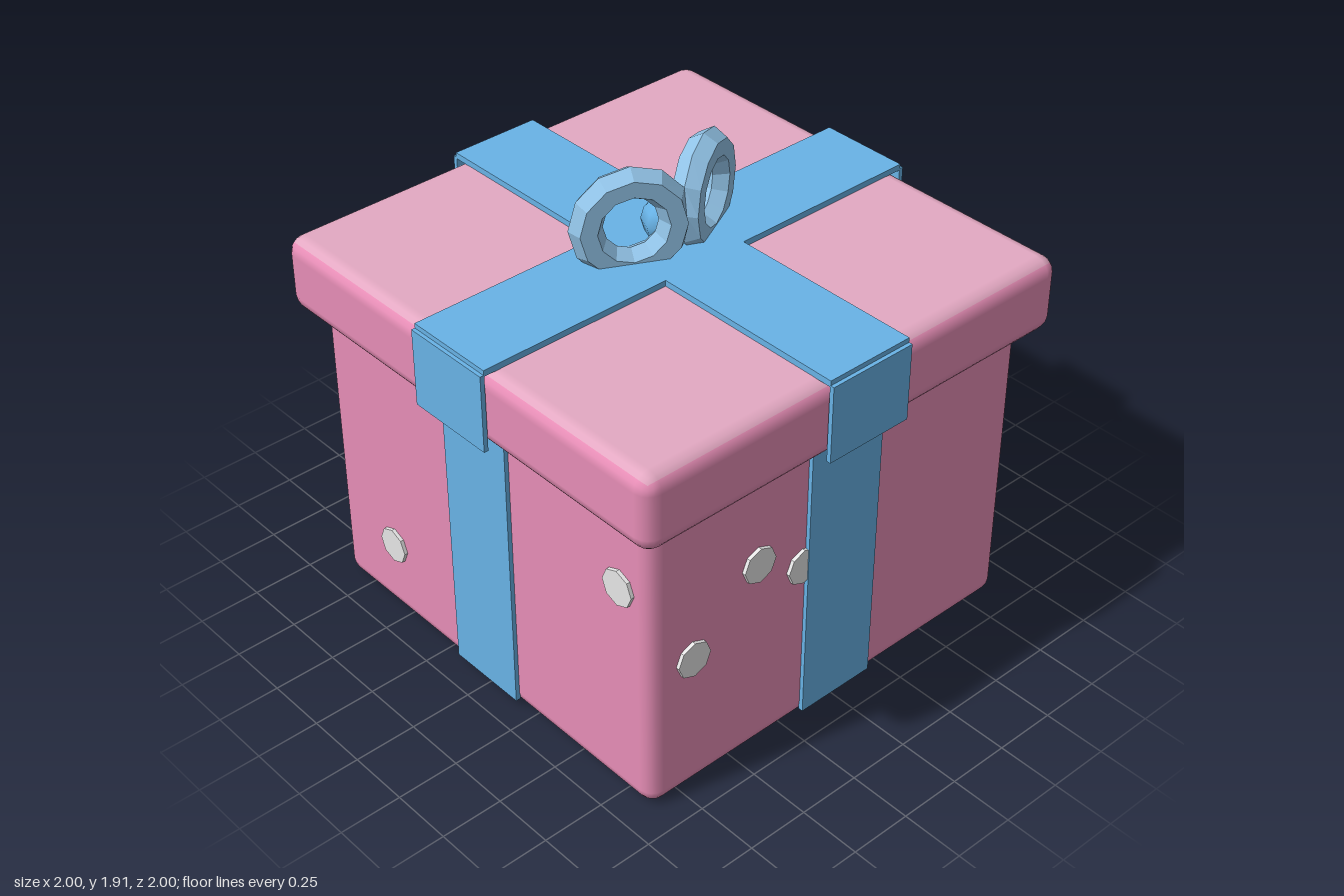
import * as THREE from 'three';
import { RoundedBoxGeometry } from 'three/addons/geometries/RoundedBoxGeometry.js';

const mat = (name, color) => {
  const m = new THREE.MeshStandardMaterial({ color });
  m.name = name;
  return m;
};

export function createModel() {
  const pink = mat('pink', 0xe98fb8);
  const palePink = mat('pale pink', 0xe4a9c3);
  const blue = mat('ribbon blue', 0x69b4e8);
  const paleBlue = mat('bow blue', 0x92c4e8);
  const grey = mat('light grey', 0xe7e7e7);

  const model = new THREE.Group();
  model.name = 'giftBox';
  const add = (parent, name, geometry, material, x = 0, y = 0, z = 0) => {
    const mesh = new THREE.Mesh(geometry, material);
    mesh.name = name;
    mesh.position.set(x, y, z);
    parent.add(mesh);
    return mesh;
  };

  // Box body, tucked into the lid
  add(model, 'body', new RoundedBoxGeometry(1.78, 1.34, 1.78, 2, 0.06), pink, 0, 0.67, 0);

  // Lid with a paler top face (groups: +x, -x, +y, -y, +z, -z)
  add(model, 'lid', new RoundedBoxGeometry(1.95, 0.305, 1.95, 2, 0.065),
    [pink, pink, palePink, pink, pink, pink], 0, 1.3775, 0);

  // Dot positions on each side: [across, height], across runs right as seen facing that side
  const sides = [
    { name: 'front', dots: [[-0.7, 0.6], [-0.4, 0.845], [-0.187, 0.72]] },
    { name: 'left', dots: [[-0.475, 0.61], [-0.545, 0.245]] },
    { name: 'back', dots: [[-0.56, 0.95], [0.405, 0.69], [0.375, 0.39]] },
    { name: 'right', dots: [[-0.55, 0.32], [0.74, 0.93]] },
  ];

  // Each side carries a body ribbon, a lid flap, a lid arm and its dots
  sides.forEach(({ name, dots }, i) => {
    const side = new THREE.Group();
    side.name = name + 'Side';
    side.rotation.y = i * Math.PI / 2;
    model.add(side);
    add(side, 'bodyRibbon', new THREE.BoxGeometry(0.34, 1.21, 0.02), blue, 0, 0.635, 0.897);
    add(side, 'lidFlap', new THREE.BoxGeometry(0.37, 0.31, 0.018), blue, 0, 1.38, 0.991);
    add(side, 'lidRibbon', new THREE.BoxGeometry(0.37, 0.025, 0.8), blue, 0, 1.5415, 0.585);
    for (const [x, y] of dots) {
      const disc = new THREE.CylinderGeometry(0.073, 0.073, 0.03, 8).toNonIndexed();
      disc.computeVertexNormals();
      disc.rotateX(Math.PI / 2);
      add(side, 'dot', disc, grey, x, y, 0.889);
    }
  });
  add(model, 'ribbonCrossing', new THREE.BoxGeometry(0.37, 0.025, 0.37), blue, 0, 1.5415, 0);

  // Bow: two faceted rings meeting on the centre plane
  const bow = new THREE.Group();
  bow.name = 'bow';
  model.add(bow);
  for (const s of [1, -1]) {
    const ring = new THREE.TorusGeometry(0.1625, 0.0625, 6, 12).toNonIndexed();
    ring.rotateY(s * 0.47);
    ring.translate(s * 0.17, 1.69, -0.012);
    const p = ring.attributes.position;
    for (let i = 0; i < p.count; i++) p.setX(i, s * Math.max(0, s * p.getX(i)));
    ring.computeVertexNormals();
    add(bow, s > 0 ? 'leftLoop' : 'rightLoop', ring, paleBlue);
  }
  add(bow, 'knot', new THREE.SphereGeometry(0.093, 8, 6), blue, 0, 1.635, -0.015);

  return model;
}
